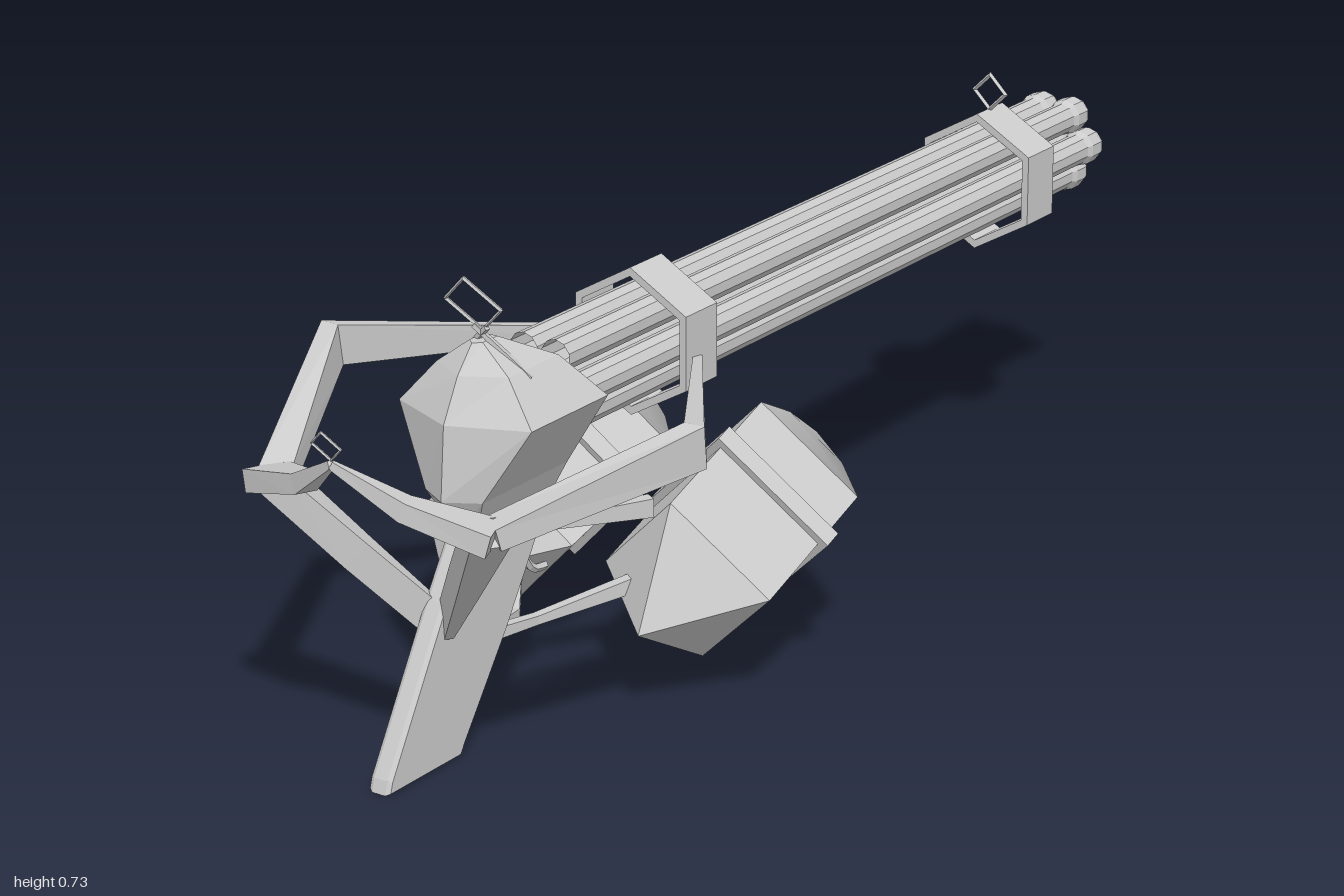
import * as THREE from 'three';

const flat = new THREE.MeshStandardMaterial({ color: 0xcccccc, flatShading: true, side: THREE.DoubleSide });
const smooth = new THREE.MeshStandardMaterial({ color: 0xcccccc, side: THREE.DoubleSide });
const V = (x, y, z) => new THREE.Vector3(x, y, z);
const CX = -0.006, AXIS_Y = 0.51;

// Skin a list of equal-sized rings and close both ends
function loft(rings) {
  const n = rings[0].length, idx = [];
  for (let i = 0; i < rings.length - 1; i++) {
    for (let j = 0; j < n; j++) {
      const a = i * n + j, b = i * n + (j + 1) % n;
      idx.push(a, b, b + n, a, b + n, a + n);
    }
  }
  const last = (rings.length - 1) * n;
  for (let j = 1; j < n - 1; j++) idx.push(0, j + 1, j, last, last + j, last + j + 1);
  const g = new THREE.BufferGeometry().setFromPoints(rings.flat());
  g.setIndex(idx);
  const out = g.toNonIndexed();
  out.computeVertexNormals();
  return out;
}

// Rectangular beam; stations are [x, y, z, width, height]
function beam(stations) {
  const p = stations.map(s => V(s[0], s[1], s[2]));
  return loft(p.map((c, i) => {
    const t = V(0, 0, 0);
    if (i > 0) t.add(c.clone().sub(p[i - 1]).normalize());
    if (i < p.length - 1) t.add(p[i + 1].clone().sub(c).normalize());
    t.normalize();
    const s = V(0, 1, 0).cross(t).negate().normalize();
    const u = s.clone().cross(t);
    const [w, h] = [stations[i][3] / 2, stations[i][4] / 2];
    return [[1, 1], [1, -1], [-1, -1], [-1, 1]].map(([a, b]) =>
      c.clone().addScaledVector(s, a * w).addScaledVector(u, b * h));
  }));
}

export function createModel() {
  const model = new THREE.Group();
  const add = (name, geo, parent = model, mat = flat) => {
    const m = new THREE.Mesh(geo, mat);
    m.name = name;
    parent.add(m);
    return m;
  };

  // Seven hollow barrels with flared muzzles
  const profile = [[0.024, 1], [0.024, -0.5], [0.026, -0.5], [0.026, 0.955], [0.031, 0.965], [0.031, 0.99], [0.028, 1], [0.022, 1], [0.022, 0.8]]
    .slice(2).map(([r, y]) => new THREE.Vector2(r, y));
  const barrelGeo = new THREE.LatheGeometry(profile, 10).rotateX(-Math.PI / 2);
  const barrels = new THREE.Group();
  barrels.name = 'barrels';
  barrels.position.set(CX, AXIS_Y, 0);
  model.add(barrels);
  for (let i = 0; i < 7; i++) {
    const r = i < 6 ? 0.058 : 0, a = i * Math.PI / 3;
    add('barrel', barrelGeo, barrels).position.set(r * Math.cos(a), r * Math.sin(a), 0);
  }

  // Hexagonal bands around the barrels
  const hex = r => Array.from({ length: 6 }, (_, i) => {
    const a = Math.PI / 2 + i * Math.PI / 3;
    return new THREE.Vector2(r * Math.cos(a), r * Math.sin(a));
  });
  for (const [name, z, y] of [['rearBand', 0.19, 0.51], ['frontBand', -0.805, 0.503]]) {
    const shape = new THREE.Shape(hex(0.118));
    shape.holes.push(new THREE.Path(hex(0.104)));
    add(name, new THREE.ExtrudeGeometry(shape, { depth: 0.082, bevelEnabled: false })).position.set(CX, y, z);
  }

  // Faceted receiver; sections are [y, half width, front z, shoulder z, rear z]
  const sections = [[0.34, 0.023, 0.51, 0.68, 0.7], [0.4, 0.052, 0.5, 0.705, 0.735],
    [0.515, 0.12, 0.49, 0.675, 0.725], [0.58, 0.065, 0.535, 0.655, 0.69], [0.62, 0.012, 0.61, 0.645, 0.655]];
  add('receiver', loft(sections.map(([y, w, f, s, r]) =>
    [V(0, y, r), V(w, y, s), V(w, y, f), V(-w, y, f), V(-w, y, s)]))).position.x = -0.01;

  // Raked grip, outlined in (z, y) and extruded across x
  const gripShape = new THREE.Shape([[0.68, 0.36], [0.505, 0.36], [0.505, 0.33], [0.61, 0.165], [0.715, 0.02], [0.725, 0.004],
    [0.89, 0.004], [0.885, 0.02], [0.75, 0.25]].map(p => new THREE.Vector2(...p)));
  const gripGeo = new THREE.ExtrudeGeometry(gripShape, { depth: 0.024, bevelSize: 0.004, bevelThickness: 0.007, bevelSegments: 1 });
  gripGeo.translate(0, 0, -0.012).rotateY(-Math.PI / 2);
  gripGeo.translate(-0.011, 0, 0);
  add('grip', gripGeo);

  // Trigger
  const triggerPath = new THREE.CatmullRomCurve3([V(-0.01, 0.29, 0.55), V(-0.01, 0.25, 0.54), V(-0.01, 0.225, 0.52), V(-0.01, 0.22, 0.49)]);
  add('trigger', new THREE.TubeGeometry(triggerPath, 8, 0.007, 5));

  // Side pods: four-sided canisters, tilted, with a raised strap and smooth nose
  const lathe = pts => new THREE.LatheGeometry(pts.map(p => new THREE.Vector2(...p)), 4);
  for (const side of [-1, 1]) {
    const yaw = new THREE.Group();
    yaw.name = side > 0 ? 'leftPod' : 'rightPod';
    yaw.position.set(side > 0 ? 0.15 : -0.195, side > 0 ? 0.225 : 0.235, 0.235);
    yaw.rotation.y = side * 0.04;
    model.add(yaw);
    const pod = new THREE.Group();
    pod.name = 'podBody';
    pod.rotation.x = -1.267;
    yaw.add(pod);
    add('podShell', lathe([[0, -0.267], [0.146, -0.127], [0.146, 0.14]]), pod);
    add('podNose', lathe([[0.146, 0.14], [0.08, 0.208], [0, 0.267]]), pod, smooth);
    add('podStrap', lathe([[0.14, 0.018], [0.163, 0.018], [0.163, 0.05], [0.14, 0.05]]), pod);

    // Struts holding the pod to the grip
    const px = side > 0 ? 0.1 : -0.13;
    add('upperStrut', beam([[-0.01, 0.295, 0.57, 0.018, 0.022], [-0.01 + side * 0.025, 0.3, 0.51, 0.016, 0.018],
      [px, 0.3, 0.37, 0.022, 0.03]]));
    add('lowerStrut', beam([[-0.01, 0.16, 0.65, 0.018, 0.02], [-0.01 + side * 0.02, 0.155, 0.54, 0.016, 0.014],
      [px, 0.19, 0.4, 0.02, 0.025]]));
  }

  // Angular side frames; joint and elbow positions differ slightly per side
  const frames = [
    { name: 'rightFrame', s: -1, elbow: [-0.315, 0.543, 0.6], joint: [-0.205, 0.44, 0.865], root: [-0.105, 0.5, 0.24] },
    { name: 'leftFrame', s: 1, elbow: [0.342, 0.521, 0.6], joint: [0.185, 0.44, 0.87], root: [0.095, 0.49, 0.24] },
  ];
  for (const { name, s, elbow, joint, root } of frames) {
    const frame = new THREE.Group();
    frame.name = name;
    model.add(frame);
    const [jx, jy, jz] = joint;
    add('sideArm', beam([[...root, 0.014, 0.018], [...elbow, 0.034, 0.066], [jx, jy, jz, 0.05, 0.034]]), frame);
    add('tipArm', beam([[jx + s * 0.012, jy, jz + 0.01, 0.07, 0.035], [s * 0.09 - 0.01, 0.475, 0.93, 0.035, 0.03],
      [-0.012, 0.535, 0.975, 0.008, 0.012]]), frame);
    add('lowerArm', beam([[jx, jy + 0.005, jz + 0.01, 0.06, 0.045], [(jx - 0.012) / 2, 0.325, 0.807, 0.036, 0.05],
      [s * 0.008 - 0.011, 0.215, 0.74, 0.014, 0.05]]), frame);
  }

  // Diamond sights: [name, x, y, z, radius, bar, tilt]
  for (const [name, x, y, z, r, bar, tilt] of [
    ['rearSight', -0.006, 0.68, 0.655, 0.05, 0.0035, 0.44],
    ['frontSight', -0.005, 0.65, -0.763, 0.03, 0.005, 0],
    ['tipSight', -0.012, 0.565, 0.984, 0.026, 0.0025, 0.4]]) {
    const m = add(name, new THREE.TorusGeometry(r, bar, 4, 4));
    m.position.set(x, y, z);
    m.rotation.x = tilt;
  }
  // Crossed legs of the rear sight
  for (const s of [-1, 1]) {
    add('rearSightLeg', beam([[CX - s * 0.012, 0.642, 0.64, 0.007, 0.007], [CX + s * 0.068, 0.568, 0.61, 0.012, 0.007]]));
  }
  return model;
}
